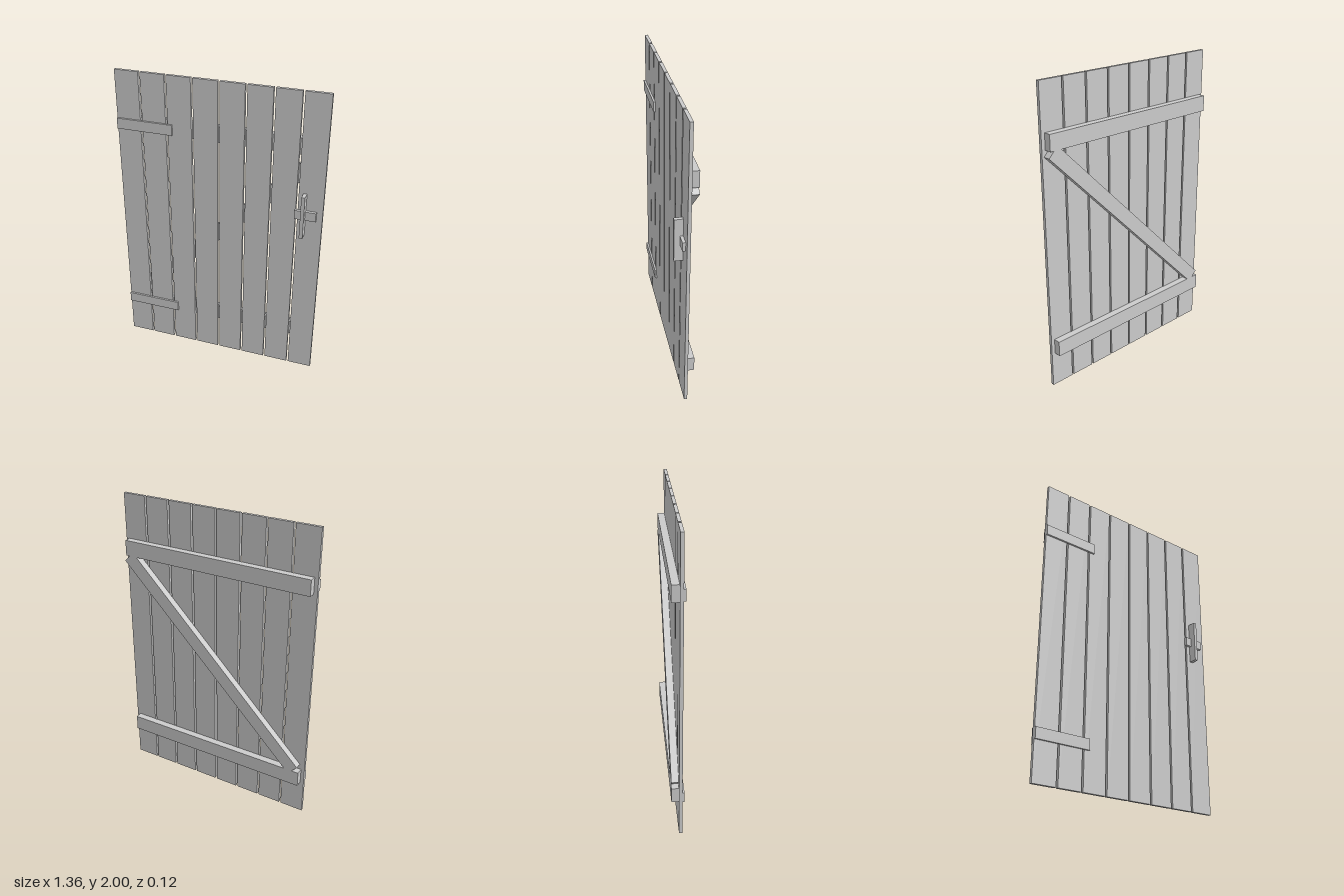
import * as THREE from 'three';

export function createModel() {
  const door = new THREE.Group();
  door.name = 'plankDoor';
  const material = new THREE.MeshStandardMaterial({ color: 0xcccccc, flatShading: true });

  // Box given by its low and high limits on each axis
  const addBox = (name, [x0, x1], [y0, y1], [z0, z1]) => {
    const mesh = new THREE.Mesh(new THREE.BoxGeometry(x1 - x0, y1 - y0, z1 - z0), material);
    mesh.position.set((x0 + x1) / 2, (y0 + y1) / 2, (z0 + z1) / 2);
    mesh.name = name;
    door.add(mesh);
    return mesh;
  };

  const front = 0.0065, rear = -0.0145, back = -0.061;

  // Vertical planks with narrow gaps
  const count = 8, plankWidth = 0.159, halfWidth = 0.68;
  const pitch = (2 * halfWidth - plankWidth) / (count - 1);
  for (let i = 0; i < count; i++) {
    const x = -halfWidth + i * pitch;
    addBox(`plank${i + 1}`, [x, x + plankWidth], [0, 2], [rear, front]);
  }

  // Rear battens and front hinge straps, lower and upper
  for (const [level, y] of [['lower', 0.287], ['upper', 1.65]]) {
    addBox(`${level}Batten`, [-0.656, 0.656], [y - 0.052, y + 0.052], [back, rear]);
    addBox(`${level}HingeStrap`, [-0.68, -0.305], [y - 0.035, y + 0.035], [front, 0.019]);
  }

  // Diagonal brace between the battens
  const brace = addBox('diagonalBrace', [-0.871, 0.893], [0.923, 1.015], [back, rear]);
  brace.rotation.z = Math.PI / 4;

  // Latch bar and upright handle
  addBox('latchBar', [0.504, 0.642], [1.175, 1.235], [front, 0.026]);
  addBox('handle', [0.55, 0.573], [1.06, 1.35], [front, 0.061]);

  return door;
}
